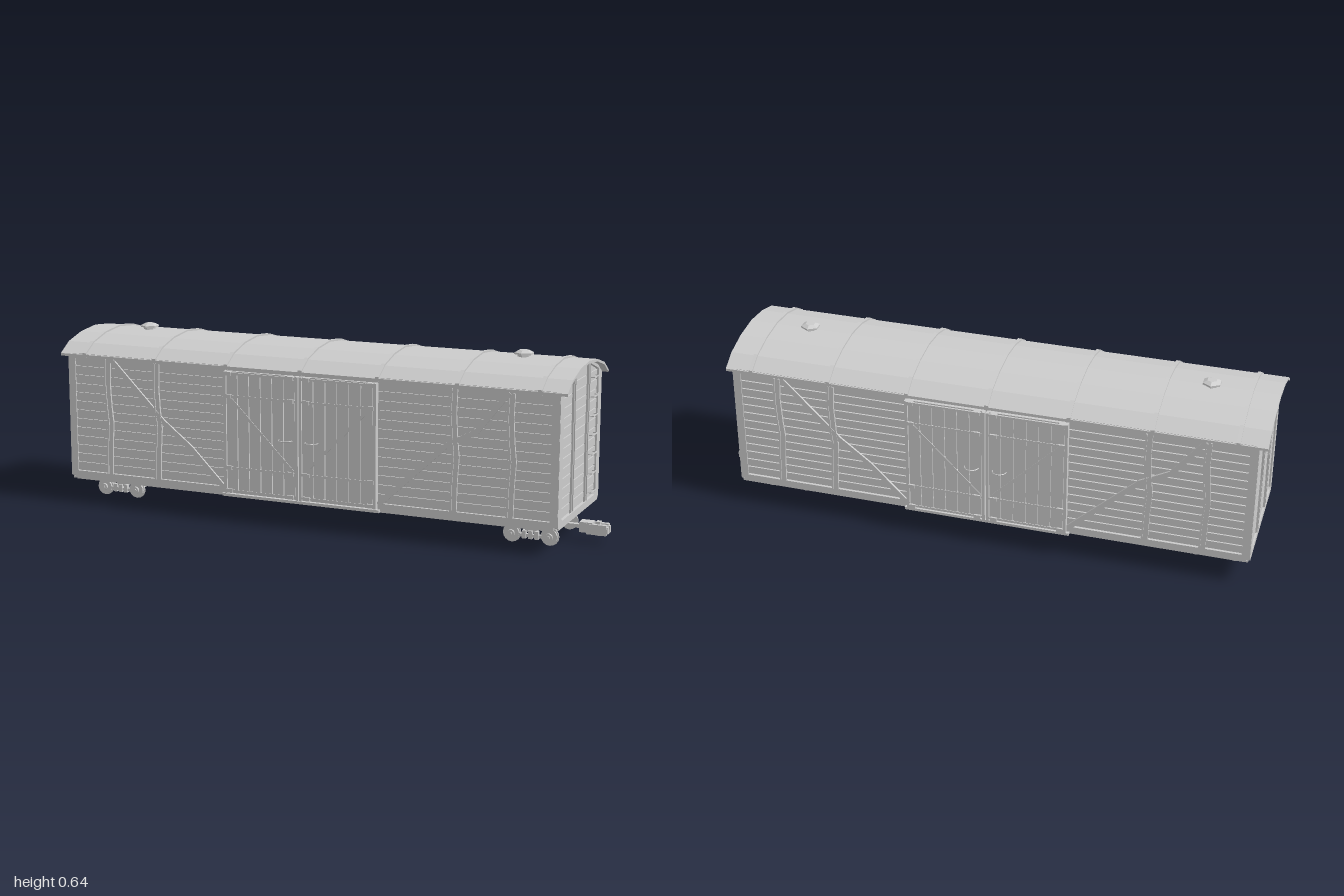
import * as THREE from 'three';

const CX = -0.04; // centre of the wagon body along x
const mat = new THREE.MeshStandardMaterial({ color: 0xcccccc, flatShading: true });

function add(parent, name, geo, x = 0, y = 0, z = 0) {
  const m = new THREE.Mesh(geo, mat);
  m.name = name;
  m.position.set(x, y, z);
  parent.add(m);
  return m;
}

// box given by its extents
const block = (p, name, x0, x1, y0, y1, z0, z1) =>
  add(p, name, new THREE.BoxGeometry(x1 - x0, y1 - y0, z1 - z0), (x0 + x1) / 2, (y0 + y1) / 2, (z0 + z1) / 2);

// chain of flat bars lying on a wall that faces +z
function bars(p, name, pts, w, z0, z1) {
  for (let i = 1; i < pts.length; i++) {
    const [ax, ay] = pts[i - 1], [bx, by] = pts[i];
    const len = Math.hypot(bx - ax, by - ay) + w * 0.2;
    const m = add(p, name, new THREE.BoxGeometry(len, w, z1 - z0), (ax + bx) / 2, (ay + by) / 2, (z0 + z1) / 2);
    m.rotation.z = Math.atan2(by - ay, bx - ax);
  }
}

// slightly crooked channel post: wide base with two raised flanges
function post(p, x, y0, y1, z, bend) {
  const pts = [[0, 0], [0.25, 0.3], [0.45, 1], [0.6, 0.2], [0.8, -0.4], [1, 0]]
    .map(([t, b]) => [x + b * bend, y0 + t * (y1 - y0)]);
  bars(p, 'postWeb', pts, 0.024, z, z + 0.004);
  for (const s of [-0.009, 0.009])
    bars(p, 'postFlange', pts.map(([a, b]) => [a + s, b]), 0.006, z, z + 0.008);
}

const mirror = half => [...half, ...half.filter(p => p[0] > 0).reverse().map(([x, y]) => [-x, y])];
const shapeOf = pts => new THREE.Shape(pts.map(p => new THREE.Vector2(...p)));

// extrude a cross-section along x, centred on x = cx
function along(p, name, shape, length, cx) {
  const geo = new THREE.ExtrudeGeometry(shape, { depth: length, bevelEnabled: false });
  geo.translate(0, 0, -length / 2).rotateY(Math.PI / 2);
  return add(p, name, geo, cx, 0, 0);
}

// arched roof strip with thickness, grown outward by d
function roofShape(d, t) {
  const arc = [[0.243, 0.552], [0.186, 0.588], [0.1, 0.612], [0, 0.622]];
  const full = [...arc, ...arc.slice(0, 3).reverse().map(([x, y]) => [-x, y])];
  return shapeOf([...full.map(([x, y]) => [x, y + d]), ...full.reverse().map(([x, y]) => [x, y - t])]);
}

function makeSide() {
  const g = new THREE.Group();
  g.name = 'sideWall';
  for (const s of [-1, 1]) {
    const span = (name, a, b, ...r) => block(g, name, Math.min(s * a, s * b), Math.max(s * a, s * b), ...r);
    // horizontal planks and the frame around them
    for (let i = 0; i < 13; i++) {
      const y = 0.12 + i * 0.0325;
      span('sidePlank', 0.29, 0.905, y + 0.002, y + 0.0305, 0.228, 0.236);
    }
    span('cornerPost', 0.902, 0.93, 0.1, 0.55, 0.226, 0.24);
    span('lowerRail', 0.29, 0.915, 0.09, 0.118, 0.226, 0.24);
    span('upperRail', 0.29, 0.92, 0.538, 0.555, 0.226, 0.24);
    post(g, s * 0.565, 0.118, 0.54, 0.236, 0.008);
    post(g, s * 0.765, 0.118, 0.54, 0.236, 0.008);

    // sliding door: vertical boards, edge stiles, straps, braces, handle
    span('doorPanel', 0.002, 0.29, 0.1, 0.537, 0.236, 0.248);
    for (let i = 0; i < 6; i++) {
      const a = 0.012 + i * 0.0445;
      span('doorBoard', a + 0.002, a + 0.0425, 0.112, 0.53, 0.246, 0.254);
    }
    span('doorStile', 0.002, 0.012, 0.1, 0.537, 0.246, 0.257);
    span('doorStile', 0.279, 0.29, 0.1, 0.537, 0.246, 0.257);
    for (const y of [0.11, 0.193, 0.45, 0.53]) {
      span('doorStrap', 0.012, 0.28, y - 0.004, y + 0.004, 0.25, 0.256);
      for (const x of [0.03, 0.27])
        span('strapBracket', x - 0.012, x + 0.012, y - 0.007, y + 0.007, 0.248, 0.261);
    }
    bars(g, 'doorBrace', [[s * 0.27, 0.45], [s * 0.02, 0.2]], 0.01, 0.248, 0.256);
    const handle = add(g, 'doorHandle', new THREE.TorusGeometry(0.025, 0.002, 4, 12, Math.PI), s * 0.05, 0.31, 0.252);
    handle.rotation.x = Math.PI / 2;
  }
  block(g, 'doorRail', -0.3, 0.3, 0.087, 0.097, 0.232, 0.252);
  // diagonal braces
  bars(g, 'leftBrace', [[-0.75, 0.54], [-0.54, 0.33], [-0.43, 0.245], [-0.3, 0.115]], 0.018, 0.235, 0.243);
  bars(g, 'rightBrace', [[0.755, 0.54], [0.645, 0.4], [0.54, 0.345], [0.295, 0.115]], 0.018, 0.235, 0.243);
  return g;
}

function makeEnd(hasLadder) {
  const g = new THREE.Group();
  g.name = 'endWall';
  // frame with an arched opening
  const frame = shapeOf(mirror([[0, 0.09], [0.225, 0.09], [0.239, 0.104], [0.239, 0.55], [0.186, 0.58], [0.1, 0.605], [0, 0.615]]));
  frame.holes.push(shapeOf(mirror([[0, 0.115], [0.193, 0.115], [0.2, 0.123], [0.2, 0.562], [0.1, 0.595], [0, 0.606]])));
  add(g, 'endFrame', new THREE.ExtrudeGeometry(frame, { depth: 0.014, bevelEnabled: false }), 0, 0, 0.917);
  // planks, the top one narrower beneath the arch
  for (let i = 0; i < 14; i++) {
    const y = 0.119 + i * 0.0339, w = i < 13 ? 0.2 : 0.12;
    block(g, 'endPlank', -w, w, y + 0.002, y + 0.032, 0.916, 0.925);
  }
  post(g, -0.08, 0.118, 0.603, 0.924, 0.004);
  post(g, 0.085, 0.118, 0.603, 0.924, -0.006);
  if (hasLadder) {
    for (let i = 0; i < 7; i++) {
      const y = 0.138 + i * 0.0675;
      block(g, 'ladderRung', 0.119, 0.175, y - 0.0015, y + 0.0015, 0.938, 0.941);
      for (const x of [0.119, 0.172]) block(g, 'rungStub', x, x + 0.003, y - 0.0015, y + 0.0015, 0.922, 0.94);
    }
  }
  return g;
}

function makeTruck() {
  const g = new THREE.Group();
  g.name = 'truck';
  block(g, 'bolsterTop', -0.1, 0.1, 0.075, 0.085, -0.065, 0.065);
  block(g, 'bolsterCore', -0.05, 0.05, 0.06, 0.076, -0.055, 0.055);
  block(g, 'bolsterBase', -0.06, 0.06, 0.053, 0.063, -0.065, 0.065);
  for (const s of [-1, 1]) {
    for (const x of [-0.067, 0.067]) {
      const disc = (name, r, t, z) => { add(g, name, new THREE.CylinderGeometry(r, r, t, 16), x, 0.034, s * z).rotation.x = Math.PI / 2; };
      disc('wheelTread', 0.028, 0.014, 0.117);
      disc('wheelFlange', 0.032, 0.006, 0.113);
      disc('wheelHub', 0.013, 0.012, 0.126);
      disc('axleCap', 0.006, 0.008, 0.132);
    }
    // truck side with spring blocks
    block(g, 'truckSide', -0.062, 0.062, 0.026, 0.036, s * 0.117 - 0.006, s * 0.117 + 0.006);
    for (const x of [-0.022, 0, 0.022]) block(g, 'spring', x - 0.007, x + 0.007, 0.02, 0.048, s * 0.117 - 0.008, s * 0.117 + 0.008);
    block(g, 'crossBeam', -0.02, 0.02, 0.042, 0.054, Math.min(0, s * 0.116), Math.max(0, s * 0.116));
  }
  for (const x of [-0.067, 0.067])
    add(g, 'axle', new THREE.CylinderGeometry(0.004, 0.004, 0.23, 8), x, 0.034, 0).rotation.x = Math.PI / 2;
  return g;
}

export function createModel() {
  const model = new THREE.Group();
  model.name = 'boxcar';
  // body core and floor
  along(model, 'bodyCore', shapeOf(mirror([[0, 0.095], [0.23, 0.095], [0.23, 0.552], [0.186, 0.576], [0.1, 0.602], [0, 0.612]])), 1.84, CX);
  block(model, 'floor', CX - 0.925, CX + 0.925, 0.088, 0.096, -0.236, 0.236);

  // walls, turned around the body centre
  [0, Math.PI].forEach(a => {
    const side = makeSide();
    side.position.x = CX;
    side.rotation.y = a;
    const end = makeEnd(a === 0);
    end.position.x = CX;
    end.rotation.y = Math.PI / 2 + a;
    model.add(side, end);
  });

  // roof, ribs and vents
  along(model, 'roof', roofShape(0, 0.009), 1.914, -0.043);
  for (let i = 0; i < 7; i++) along(model, 'roofRib', roofShape(0.006, 0.012), 0.014, CX + (i - 3) * 0.287);
  for (const x of [-0.765, 0.685]) {
    const profile = [[0, 0.612], [0.022, 0.612], [0.022, 0.627], [0.034, 0.629], [0.034, 0.635], [0.018, 0.643], [0, 0.643]];
    add(model, 'roofVent', new THREE.LatheGeometry(profile.map(p => new THREE.Vector2(...p)), 6), x);
  }

  // underframe
  for (let i = -4; i <= 4; i++) block(model, 'floorSill', CX - 0.915, CX + 0.915, 0.083, 0.09, i * 0.055 - 0.007, i * 0.055 + 0.007);
  block(model, 'centreRod', -0.79, 0.73, 0.036, 0.044, -0.012, 0.012);
  for (const x of [-0.835, 0.76]) {
    const truck = makeTruck();
    truck.position.x = x;
    model.add(truck);
  }

  // coupler at the +x end
  block(model, 'couplerShank', 0.73, 0.93, 0.045, 0.058, -0.009, 0.009);
  block(model, 'couplerHead', 0.9, 0.945, 0.034, 0.07, -0.02, 0.02);
  for (const s of [-1, 1]) {
    block(model, 'couplerJaw', 0.925, 0.995, 0.03, 0.066, s * 0.015 - 0.008, s * 0.015 + 0.008);
    block(model, 'couplerLip', 0.98, 1, 0.036, 0.06, s * 0.013 - 0.008, s * 0.013 + 0.008);
  }
  block(model, 'couplerPin', 0.955, 0.97, 0.026, 0.074, -0.012, 0.012);
  // lower everything so the wheels rest on the ground
  model.children.forEach(c => { c.position.y -= 0.002; });
  return model;
}
